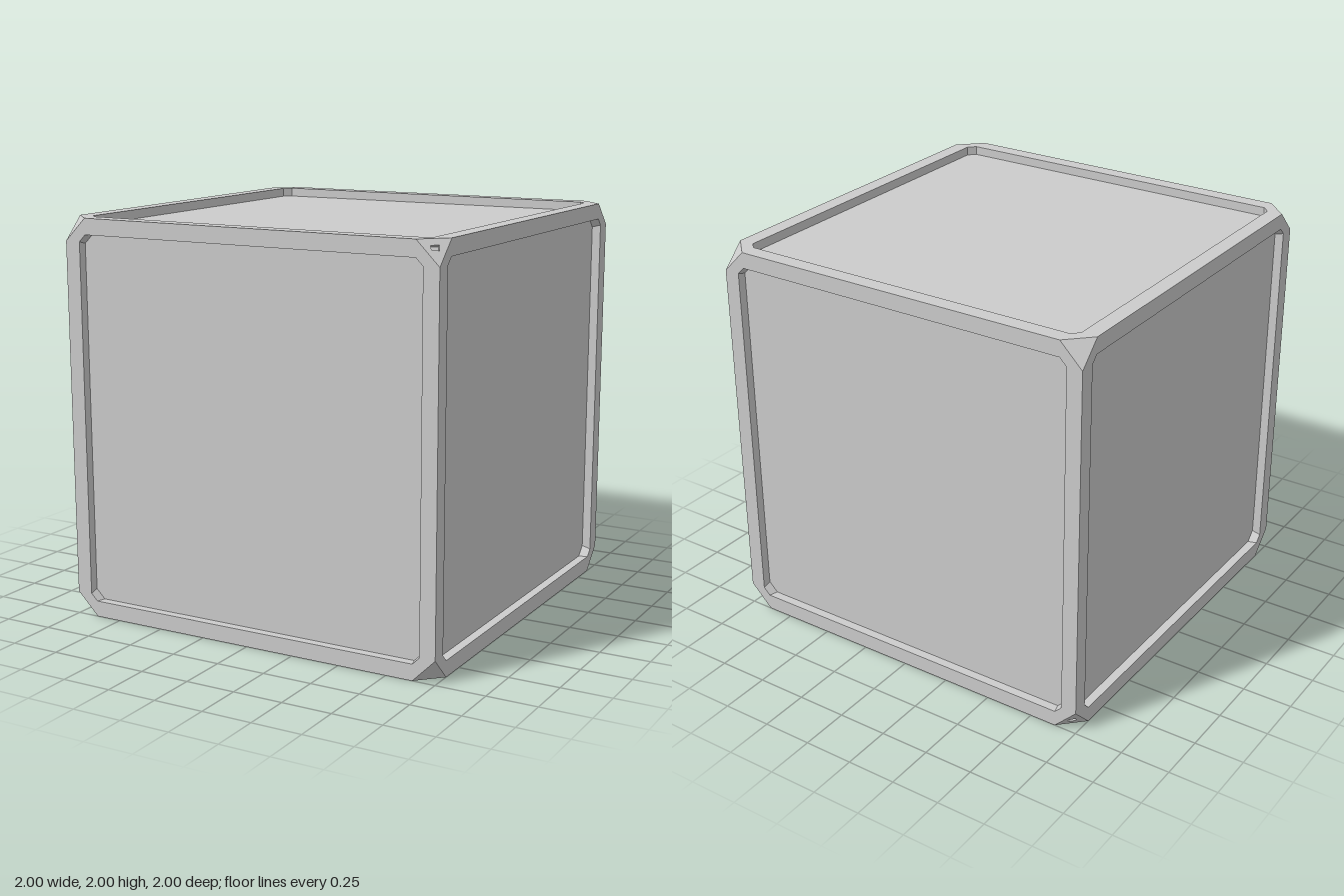
import * as THREE from 'three';

const CUT = 0.115;     // corner truncation along each edge
const OPENING = 0.92;  // half width of each recessed panel
const DEPTH = 0.045;   // panel recess depth

const material = new THREE.MeshStandardMaterial({ color: 0xcccccc, flatShading: true });

// Square with bevelled corners, counter-clockwise
function octagon(half, cut) {
  const k = half - cut;
  return [[k, -half], [half, -k], [half, k], [k, half], [-k, half], [-half, k], [-half, -k], [-k, -half]]
    .map(([x, y]) => new THREE.Vector2(x, y));
}

// Strip of walls joining a rim at z = 0 to a floor outline at z = -depth
function wallGeometry(rim, floor, depth) {
  const points = [];
  rim.forEach((a, i) => {
    const j = (i + 1) % rim.length;
    const b = rim[j], c = floor[i], d = floor[j];
    points.push(a.x, a.y, 0, b.x, b.y, 0, c.x, c.y, -depth);
    points.push(b.x, b.y, 0, d.x, d.y, -depth, c.x, c.y, -depth);
  });
  const geometry = new THREE.BufferGeometry();
  geometry.setAttribute('position', new THREE.Float32BufferAttribute(points, 3));
  geometry.computeVertexNormals();
  return geometry;
}

function addMesh(parent, name, geometry, z = 0) {
  const mesh = new THREE.Mesh(geometry, material);
  mesh.name = name;
  mesh.position.z = z;
  parent.add(mesh);
}

// Flat plate with a sunken area: rim, walls and floor
function recessedPlate(name, outer, rim, floor, depth) {
  const group = new THREE.Group();
  group.name = name;
  const plate = new THREE.Shape(outer);
  plate.holes.push(new THREE.Path(rim));
  addMesh(group, name + 'Rim', new THREE.ShapeGeometry(plate));
  addMesh(group, name + 'Walls', wallGeometry(rim, floor, depth));
  addMesh(group, name + 'Floor', new THREE.ShapeGeometry(new THREE.Shape(floor)), -depth);
  return group;
}

export function createModel() {
  const model = new THREE.Group();
  model.name = 'panelledCube';

  // Six framed faces; the side panels have slightly leaning corner walls
  const faces = [
    ['front', 0, 0], ['left', 0, Math.PI / 2], ['back', 0, Math.PI], ['right', 0, -Math.PI / 2],
    ['top', -Math.PI / 2, 0], ['bottom', Math.PI / 2, 0],
  ];
  for (const [name, rx, ry] of faces) {
    const lean = rx === 0 ? 0.012 : 0;
    const face = recessedPlate(name + 'Panel', octagon(1, CUT),
      octagon(OPENING, 0.035), octagon(OPENING, 0.035 + lean), DEPTH);
    face.rotation.set(rx, ry, 0);
    face.position.set(0, 0, 1).applyEuler(face.rotation);
    face.position.y += 1;
    model.add(face);
  }

  // Eight triangular corner facets, two opposite ones with a small pocket
  const radius = CUT * Math.sqrt(2 / 3);
  for (const sx of [-1, 1]) for (const sy of [-1, 1]) for (const sz of [-1, 1]) {
    const outline = [0, 1, 2].map((i) => {
      const a = -sy * Math.PI / 2 + i * Math.PI * 2 / 3;
      return new THREE.Vector2(radius * Math.cos(a), radius * Math.sin(a));
    });
    let facet;
    if (sx === sy && sy === sz) {
      const pocket = [[-0.022, -0.008], [0.014, -0.014], [0.018, 0.014], [-0.022, 0.014]]
        .map(([x, y]) => new THREE.Vector2(x, y * sy));
      if (sy < 0) pocket.reverse();
      facet = recessedPlate('pocketCorner', outline, pocket, pocket, 0.015);
    } else {
      facet = new THREE.Group();
      facet.name = 'corner';
      addMesh(facet, 'cornerFacet', new THREE.ShapeGeometry(new THREE.Shape(outline)));
    }
    facet.position.set(sx, sy, sz).multiplyScalar(1 - CUT / 3);
    facet.lookAt(facet.position.clone().multiplyScalar(2));
    facet.position.y += 1;
    model.add(facet);
  }
  return model;
}
